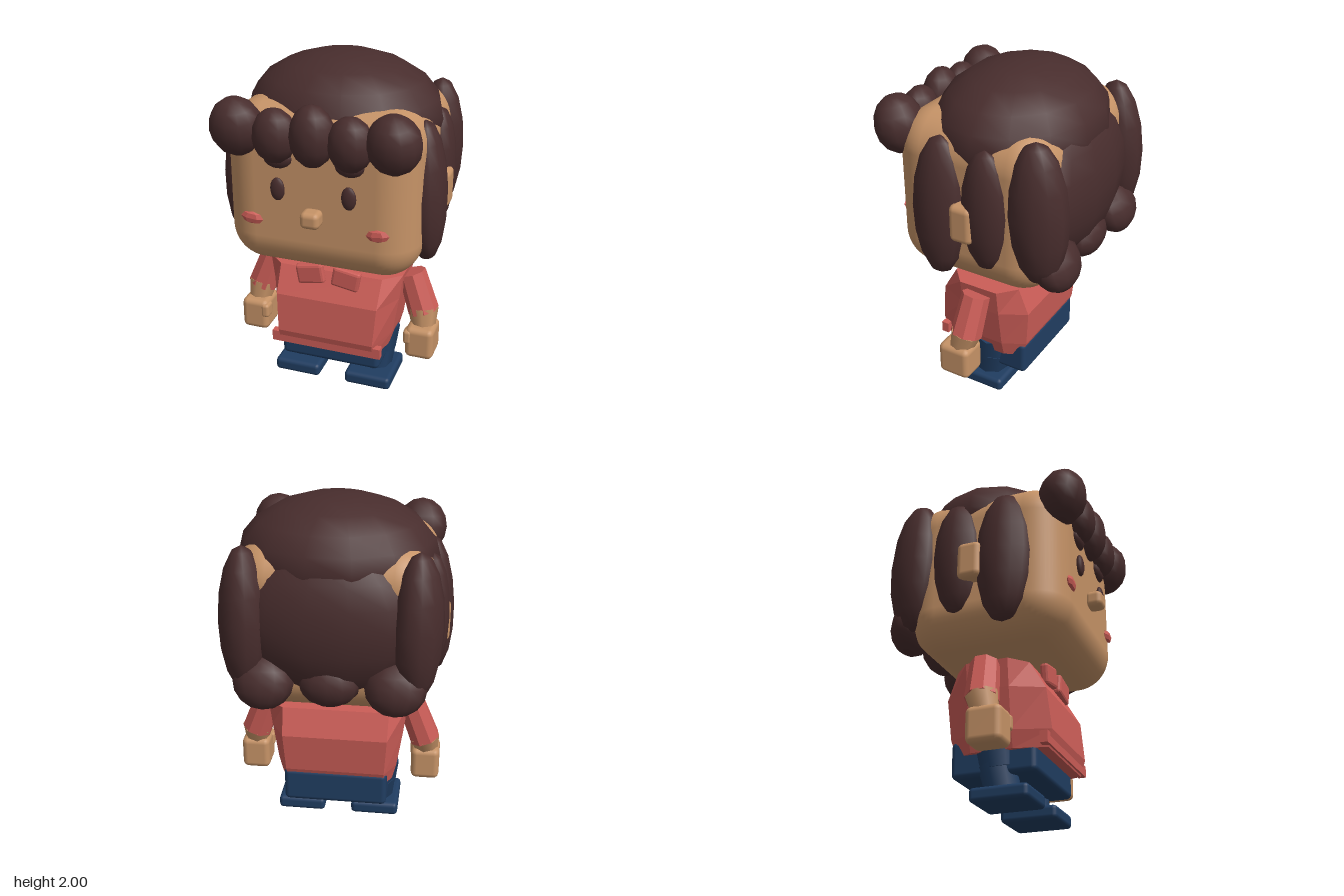
import * as THREE from 'three';
import { RoundedBoxGeometry } from 'three/addons/geometries/RoundedBoxGeometry.js';

const material = (name, color, flatShading = false) => {
  const m = new THREE.MeshStandardMaterial({ color, flatShading });
  m.name = name;
  return m;
};

export function createModel() {
  const model = new THREE.Group();
  model.name = 'character';
  const hair = material('dark brown', 0x482d2d);
  const skin = material('tan skin', 0xc69367);
  const red = material('coral red', 0xcb5d57, true);
  const navy = material('navy', 0x203d61);

  const add = (name, geometry, mat, pos = [0, 0, 0], rot = [0, 0, 0]) => {
    const mesh = new THREE.Mesh(geometry, mat);
    mesh.name = name;
    mesh.position.set(...pos);
    mesh.rotation.set(...rot);
    model.add(mesh);
    return mesh;
  };
  const rounded = (name, mat, size, radius, pos, rot, segments = 2) =>
    add(name, new RoundedBoxGeometry(...size, segments, radius), mat, pos, rot);
  const blob = (name, mat, radii, pos, rot, w = 12, h = 8) =>
    add(name, new THREE.SphereGeometry(1, w, h).scale(...radii), mat, pos, rot);
  // Tapered limb segment between two points
  const limb = (name, mat, a, b, ra, rb, sides = 8) => {
    const p = new THREE.Vector3(...a), q = new THREE.Vector3(...b);
    const dir = q.clone().sub(p);
    const mesh = add(name, new THREE.CylinderGeometry(rb, ra, dir.length(), sides), mat);
    mesh.position.copy(p).add(q).multiplyScalar(0.5);
    mesh.quaternion.setFromUnitVectors(new THREE.Vector3(0, 1, 0), dir.normalize());
    return mesh;
  };
  // Closed solid through rings listed from bottom to top
  const loft = (rings) => {
    const n = rings[0].length, pos = rings.flat(2), index = [];
    for (let r = 0; r < rings.length - 1; r++) {
      for (let i = 0; i < n; i++) {
        const a = r * n + i, b = r * n + (i + 1) % n;
        index.push(a, b, b + n, a, b + n, a + n);
      }
    }
    const top = (rings.length - 1) * n;
    for (let i = 1; i < n - 1; i++) index.push(0, i + 1, i, top, top + i, top + i + 1);
    const g = new THREE.BufferGeometry();
    g.setAttribute('position', new THREE.Float32BufferAttribute(pos, 3));
    g.setIndex(index);
    g.computeVertexNormals();
    return g;
  };

  // Head, neck and face
  rounded('head', skin, [1.1, 0.94, 0.94], 0.21, [0, 1.32, 0], undefined, 6);
  rounded('neck', skin, [0.24, 0.16, 0.25], 0.02, [0, 0.8, 0]);
  rounded('nose', skin, [0.11, 0.095, 0.1], 0.03, [0, 1.225, 0.505]);

  // Crown and back of the hair
  blob('hairCrown', hair, [0.56, 0.34, 0.47], [0, 1.66, -0.055], [0, 0, 0], 14, 10);
  blob('backHair', hair, [0.54, 0.44, 0.25], [0, 1.37, -0.335], [0, 0, 0], 14, 10);
  blob('napeCurlMiddle', hair, [0.17, 0.13, 0.11], [0, 1.05, -0.46]);
  blob('middleFringeCurl', hair, [0.125, 0.17, 0.105], [0, 1.68, 0.48]);

  // Shirt body: chamfered cross-sections
  const ring = (y, x, front, back, fx) => [
    [-fx, y, front], [fx, y, front], [x, y, 0.12], [x, y, -0.12],
    [fx, y, back], [-fx, y, back], [-x, y, -0.12], [-x, y, 0.12],
  ];
  add('shirt', loft([
    ring(0.275, 0.33, 0.3, -0.215, 0.28),
    ring(0.37, 0.355, 0.325, -0.25, 0.29),
    ring(0.6, 0.39, 0.3, -0.27, 0.305),
    ring(0.757, 0.41, 0.21, -0.21, 0.31),
  ]), red);
  add('shirtHem', new THREE.BoxGeometry(0.67, 0.065, 0.045), red, [0, 0.318, 0.292]);

  // Trousers
  rounded('hips', navy, [0.61, 0.21, 0.485], 0.03, [0, 0.257, -0.003]);

  for (const [side, s] of [['left', 1], ['right', -1]]) {
    // Face details
    blob(side + 'Eye', hair, [0.042, 0.066, 0.022], [s * 0.2, 1.36, 0.48]);
    blob(side + 'Cheek', red, [0.066, 0.036, 0.02], [s * 0.358, 1.165, 0.473], [0, 0, s * 0.1], 6, 4);
    rounded(side + 'Ear', skin, [0.14, 0.22, 0.14], 0.035, [s * 0.56, 1.28, -0.03]);

    // Fringe curls
    blob(side + 'OuterFringeCurl', hair, [0.148, 0.165, 0.135], [s * 0.432, 1.68, 0.46], [0.2, 0, 0]);
    blob(side + 'InnerFringeCurl', hair, [0.125, 0.15, 0.1], [s * 0.208, 1.66, 0.48]);
    blob(side + 'FringeTip', hair, [0.085, 0.06, 0.04], [s * 0.2, 1.535, 0.465]);

    // Side and back locks, nape curl
    blob(side + 'FrontLock', hair, [0.115, 0.41, 0.162], [s * 0.532, 1.31, 0.145], [0, 0, s * 0.05]);
    blob(side + 'MiddleLock', hair, [0.1, 0.355, 0.142], [s * 0.525, 1.35, -0.135]);
    blob(side + 'BackLock', hair, [0.135, 0.41, 0.165], [s * 0.468, 1.38, -0.415], [0.05, s * 0.3, 0]);
    blob(side + 'NapeCurl', hair, [0.17, 0.155, 0.115], [s * 0.36, 1.05, -0.475], [0.35, 0, 0]);

    // Collar
    rounded(side + 'Collar', red, [0.165, 0.12, 0.05], 0.015, [s * 0.108, 0.748, 0.25], [0, 0, -s * 0.17], 1);

    // Arm and hand
    limb(side + 'Sleeve', red, [s * 0.43, 0.725, 0], [s * 0.515, 0.49, 0.02], 0.082, 0.092);
    limb(side + 'Forearm', skin, [s * 0.51, 0.51, 0.02], [s * 0.525, 0.4, 0.05], 0.092, 0.07);
    rounded(side + 'Hand', skin, [0.17, 0.2, 0.2], 0.035, [s * 0.522, 0.33, 0.06]);
    rounded(side + 'Thumb', skin, [0.052, 0.09, 0.08], 0.02, [s * 0.453, 0.367, 0.125]);

    // Leg and shoe
    limb(side + 'Thigh', navy, [s * 0.24, 0.34, 0], [s * 0.235, 0.19, 0.015], 0.125, 0.11);
    limb(side + 'Shin', navy, [s * 0.235, 0.22, 0.0], [s * 0.225, 0.06, 0.03], 0.11, 0.1);
    rounded(side + 'Shoe', navy, [0.285, 0.08, 0.33], 0.025, [s * 0.224, 0.04, 0.05]);
  }
  return model;
}
